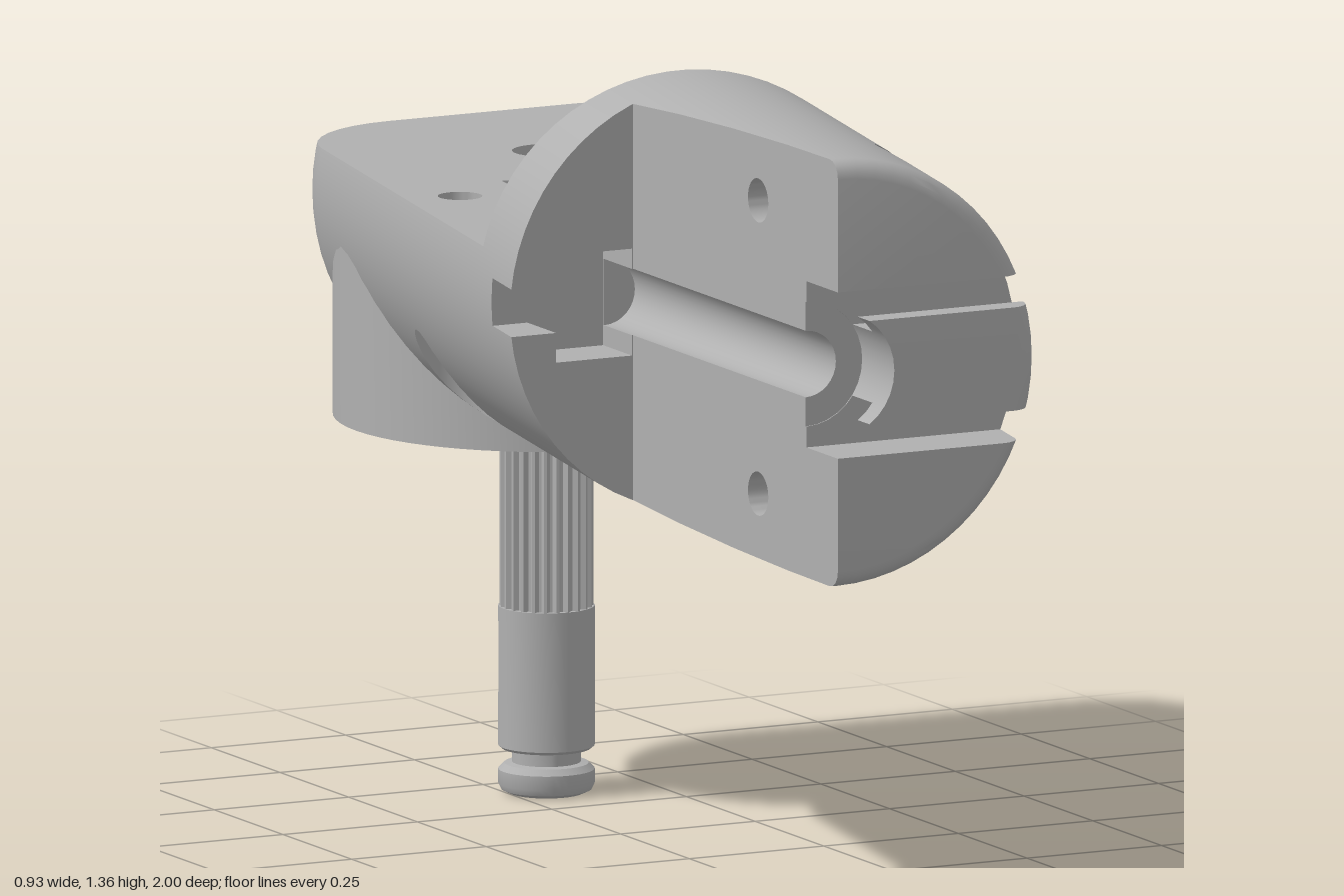
import * as THREE from 'three';
import { toCreasedNormals } from 'three/addons/utils/BufferGeometryUtils.js';

// ---- small solid-cutting kit: solids are lists of convex polygons ----
const EPS = 1e-5;

function solid(geometry) {
  const g = toCreasedNormals(geometry, 0.6);
  const { position, normal } = g.attributes;
  const polys = [];
  for (let i = 0; i < position.count; i += 3) {
    const v = [0, 1, 2].map((k) => ({
      p: new THREE.Vector3().fromBufferAttribute(position, i + k),
      n: new THREE.Vector3().fromBufferAttribute(normal, i + k),
    }));
    const n = v[1].p.clone().sub(v[0].p).cross(v[2].p.clone().sub(v[0].p));
    if (n.length() < 1e-9) continue;
    n.normalize();
    polys.push({ v, n, w: n.dot(v[0].p) });
  }
  return polys;
}

// Splits a polygon by a plane into [front, back, coplanar]
function split(poly, plane) {
  const d = poly.v.map((v) => plane.n.dot(v.p) - plane.w);
  const pos = d.some((x) => x > EPS), neg = d.some((x) => x < -EPS);
  if (!pos && !neg) return plane.n.dot(poly.n) > 0 ? [poly, null, true] : [null, poly, true];
  if (!neg) return [poly, null];
  if (!pos) return [null, poly];
  const f = [], b = [];
  poly.v.forEach((a, i) => {
    const j = (i + 1) % d.length, c = poly.v[j];
    if (d[i] >= -EPS) f.push(a);
    if (d[i] <= EPS) b.push(a);
    if ((d[i] > EPS && d[j] < -EPS) || (d[i] < -EPS && d[j] > EPS)) {
      const t = d[i] / (d[i] - d[j]);
      const m = { p: a.p.clone().lerp(c.p, t), n: a.n.clone().lerp(c.n, t).normalize() };
      f.push(m);
      b.push(m);
    }
  });
  return [{ ...poly, v: f }, { ...poly, v: b }];
}

function tree(polys) {
  const node = { n: polys[0].n, w: polys[0].w }, front = [], back = [];
  for (let i = 1; i < polys.length; i++) {
    const [f, b, flat] = split(polys[i], node);
    if (flat) continue;
    if (f) front.push(f);
    if (b) back.push(b);
  }
  if (front.length) node.front = tree(front);
  if (back.length) node.back = tree(back);
  return node;
}

function sort(poly, node, ins, outs) {
  const [f, b] = split(poly, node);
  if (f) node.front ? sort(f, node.front, ins, outs) : outs.push(f);
  if (b) node.back ? sort(b, node.back, ins, outs) : ins.push(b);
}

function keep(polys, node, inside) {
  return polys.flatMap((p) => {
    const ins = [], outs = [];
    sort(p, node, ins, outs);
    if (inside) return outs.length ? ins : [p];
    return ins.length ? outs : [p];
  });
}

const flip = (p) => ({
  v: p.v.map((v) => ({ p: v.p, n: v.n.clone().negate() })).reverse(),
  n: p.n.clone().negate(), w: -p.w,
});
const join = (a, b) => [...keep(a, tree(b), false), ...keep(b, tree(a), false)];
// Cutters given together must not touch each other
function carve(a, cutters) {
  const b = cutters.flatMap(solid);
  return [...keep(a, tree(b), false), ...keep(b, tree(a), true).map(flip)];
}

function toGeometry(polys) {
  const pos = [], nor = [];
  for (const { v } of polys)
    for (let i = 2; i < v.length; i++)
      for (const c of [v[0], v[i - 1], v[i]]) {
        pos.push(...c.p);
        nor.push(...c.n);
      }
  const g = new THREE.BufferGeometry();
  g.setAttribute('position', new THREE.Float32BufferAttribute(pos, 3));
  g.setAttribute('normal', new THREE.Float32BufferAttribute(nor, 3));
  return g;
}

// ---- shape helpers ----
const vec = (pts) => pts.map(([x, y]) => new THREE.Vector2(x, y));
const turn = (pts, sides = 32) => new THREE.LatheGeometry(vec(pts), sides);
const block = (x0, x1, y0, y1, z0, z1) => new THREE.BoxGeometry(x1 - x0, y1 - y0, z1 - z0)
  .translate((x0 + x1) / 2, (y0 + y1) / 2, (z0 + z1) / 2);
const prism = (pts, depth) =>
  new THREE.ExtrudeGeometry(new THREE.Shape(vec(pts)), { depth, bevelEnabled: false });
const arc = (cx, cy, r, a0, a1, n) => Array.from({ length: n + 1 }, (_, i) => {
  const a = a0 + ((a1 - a0) * i) / n;
  return [cx + r * Math.cos(a), cy + r * Math.sin(a)];
});

const POST = [0.064, -0.645];
const SKEW = -0.18;

function buildBody() {
  // Skewed round barrel with a large rounded back end and a small front one
  const barrel = turn([
    [0, -1], ...arc(0.19, -0.83, 0.17, -Math.PI / 2, 0, 8),
    ...arc(0.33, 0.97, 0.03, 0, Math.PI / 2, 4), [0, 1],
  ], 64).rotateX(Math.PI / 2);
  barrel.applyMatrix4(new THREE.Matrix4().set(
    1.016, 0, SKEW, -0.052, 0, 1, 0, 1, 0, 0, 1, 0, 0, 0, 0, 1));
  const collar = turn([[0, 0.638], [0.354, 0.638], [0.354, 1], [0, 1]], 64)
    .translate(POST[0], 0, POST[1]);
  let body = join(solid(barrel), solid(collar));

  // Flat top deck, half-cut front and hollow collar
  body = carve(body, [
    block(-1.2, 1.2, 1.08, 1.6, -1.6, 0).rotateY(-0.2).translate(-0.08, 0, 0.145),
    block(-0.9, -0.235, 0.4, 1.6, 0.255, 1.3),
    turn([[0, 0.5], [0.33, 0.5], [0.33, 0.665], [0.295, 0.675], [0.295, 0.9], [0, 0.9]], 48)
      .translate(POST[0], 0, POST[1]),
  ]);

  // Deck pocket
  const pocket = prism([
    [-0.127, -0.435], [0.143, -0.377], [0.137, -0.34], [0.1, -0.26], [0.106, -0.18],
    [0.075, -0.035], [0.026, 0.163], [-0.25, 0.108], [-0.2, -0.09], [-0.18, -0.155],
    [-0.175, -0.26], [-0.137, -0.34],
  ], 0.32).rotateX(Math.PI / 2).translate(0, 1.12, 0);
  const cutters = [pocket];

  // Vertical screw holes, sunk from below, and the blind hole over the post
  for (const [x, z] of [[-0.25, -0.345], [0.245, -0.235]])
    cutters.push(turn([[0, 0.5], [0.075, 0.5], [0.075, 0.9], [0.037, 0.9], [0.037, 1.2], [0, 1.2]])
      .translate(x, 0, z));
  cutters.push(turn([[0, 0.98], [0.057, 0.98], [0.057, 1.2], [0, 1.2]]).translate(POST[0], 0, POST[1]));

  for (const s of [-1, 1]) {
    // Cross screw holes, sunk from the outer side
    cutters.push(turn([[0, -0.4], [0.037, -0.4], [0.037, -0.02], [0.075, -0.02], [0.075, 0.6], [0, 0.6]])
      .rotateZ(-Math.PI / 2).translate(0, 1 + s * 0.247, 0.71));
    // Undercut channels that leave a T rail on the nose
    cutters.push(prism([
      [0.885, 0.06], [0.957, 0.06], [0.957, 0.087], [1.1, 0.087], [1.1, 0.14], [0.885, 0.14],
    ].map(([z, y]) => [z, 1 + s * y]), 0.8).rotateY(-Math.PI / 2).translate(0.4, 0, 0));
  }

  // Small slot in the dome face and stepped slot in the side shoulder
  cutters.push(block(-0.075, 0.075, 1.23, 1.3, -0.1, 0.1).rotateY(-0.2).translate(0, 0, 0.162));
  cutters.push(prism([
    [-0.6, 0.96], [-0.378, 0.96], [-0.378, 0.91], [-0.237, 0.91],
    [-0.237, 1.09], [-0.378, 1.09], [-0.378, 1.04], [-0.6, 1.04],
  ], 0.2).translate(0, 0, 0.15));
  body = carve(body, cutters);

  // Cable channel along the split face, widening at the nose
  return carve(body, [
    turn([[0, 0.152], [0.056, 0.152], [0.056, 0.883], [0.105, 0.883], [0.105, 1.1], [0, 1.1]])
      .rotateX(Math.PI / 2).translate(-0.235, 1, 0),
  ]);
}

export function createModel() {
  const grey = new THREE.MeshStandardMaterial({ color: 0xb0b0b0 });
  grey.name = 'plain grey';
  const model = new THREE.Group();
  const add = (name, geometry, parent = model) => {
    const mesh = new THREE.Mesh(geometry, grey);
    mesh.name = name;
    parent.add(mesh);
  };

  add('body', toGeometry(buildBody()));

  const post = new THREE.Group();
  post.name = 'post';
  post.position.set(POST[0], 0, POST[1]);
  model.add(post);

  // Plain shaft with foot, neck and bayonet notch
  let shaft = solid(turn([
    [0, 0], [0.062, 0], [0.075, 0.006], [0.08, 0.016], [0.08, 0.04], [0.07, 0.05], [0.057, 0.052],
    [0.057, 0.074], [0.074, 0.075], [0.08, 0.08], [0.08, 0.315], [0, 0.315],
  ], 40));
  shaft = carve(shaft, [block(-0.2, 0.2, 0.168, 0.288, -0.2, -0.027)]);
  shaft = carve(shaft, [block(0.066, 0.2, 0.17, 0.286, -0.15, 0.035)]);
  add('shaft', toGeometry(shaft), post);

  // Ridged grip section
  const teeth = Array.from({ length: 96 }, (_, i) => {
    const a = (i / 96) * Math.PI * 2, r = i % 4 < 2 ? 0.078 : 0.07;
    return [r * Math.cos(a), r * Math.sin(a)];
  });
  add('ridgedShaft', prism(teeth, 0.6).rotateX(-Math.PI / 2).translate(0, 0.314, 0), post);

  return model;
}
